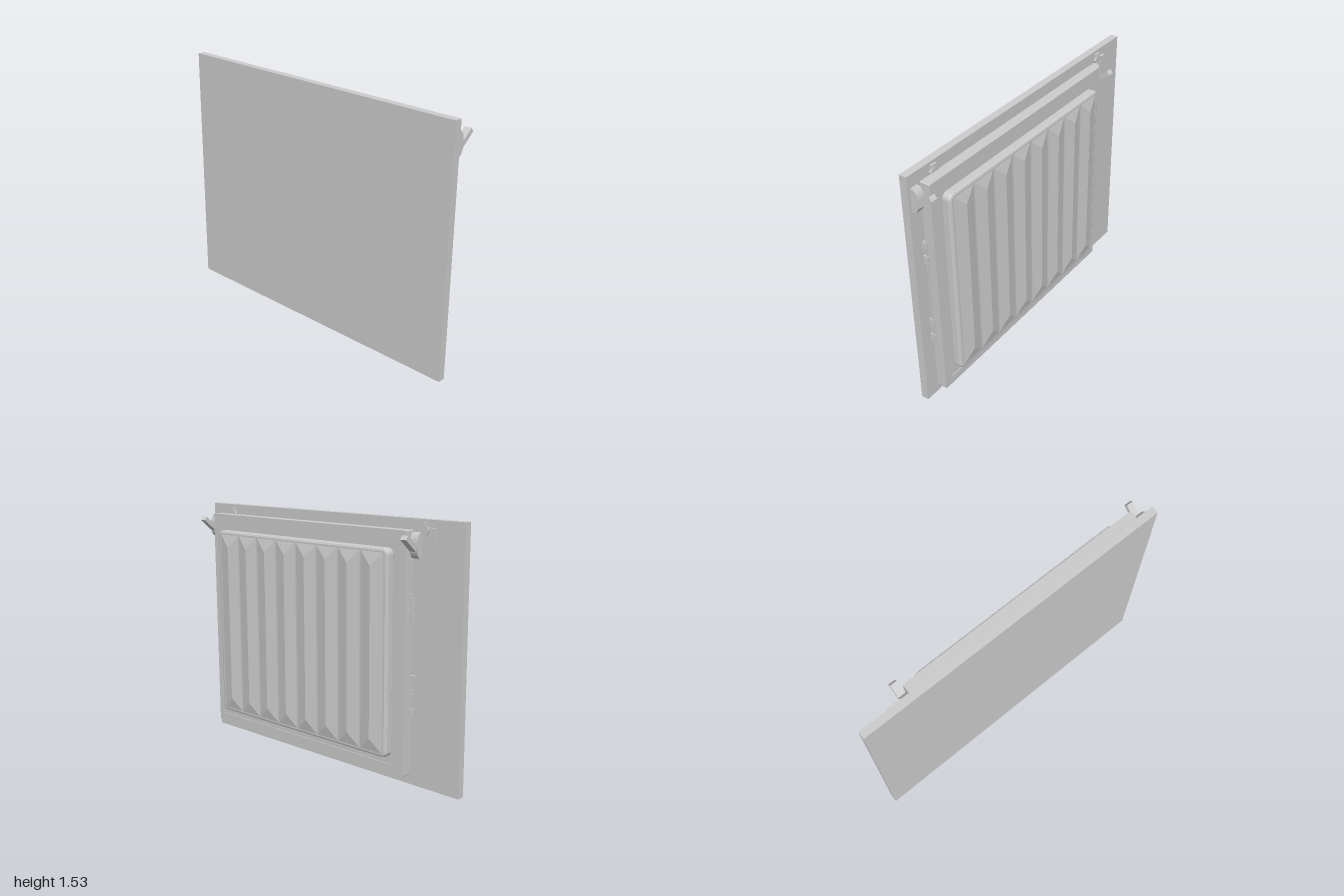
import * as THREE from 'three';
import { ConvexGeometry } from 'three/addons/geometries/ConvexGeometry.js';

const material = new THREE.MeshStandardMaterial({ color: 0xcccccc, flatShading: true });
const MID_Y = 0.765;

function add(parent, name, geometry) {
  const mesh = new THREE.Mesh(geometry, material);
  mesh.name = name;
  parent.add(mesh);
  return mesh;
}

// Box given by its limits on each axis
function box(parent, name, [x0, x1], [y0, y1], [z0, z1]) {
  const mesh = add(parent, name, new THREE.BoxGeometry(x1 - x0, y1 - y0, z1 - z0));
  mesh.position.set((x0 + x1) / 2, (y0 + y1) / 2, (z0 + z1) / 2);
  return mesh;
}

// Rounded rectangle in the panel plane, centred on the origin
function roundedRect(w, h, r, Type = THREE.Shape) {
  const s = new Type();
  const corners = [[1, 1, 0], [-1, 1, 1], [-1, -1, 2], [1, -1, 3]];
  for (const [sx, sy, q] of corners) {
    s.absarc(sx * (w / 2 - r), sy * (h / 2 - r), r, q * Math.PI / 2, (q + 1) * Math.PI / 2);
  }
  s.closePath();
  return s;
}

// Extrusion whose depth runs along +x
function extrudeX(shape, options) {
  return new THREE.ExtrudeGeometry(shape, { bevelEnabled: false, curveSegments: 5, ...options })
    .rotateY(Math.PI / 2);
}

function discX(parent, name, radius, [x0, x1], y, z, sides = 12) {
  const mesh = add(parent, name, new THREE.CylinderGeometry(radius, radius, x1 - x0, sides).rotateZ(Math.PI / 2));
  mesh.position.set((x0 + x1) / 2, y, z);
  return mesh;
}

// Raised pan with hip-ended vertical ridges
function createPan() {
  const pan = new THREE.Group();
  pan.name = 'pan';
  const w = 1.4, h = 1.19, bevel = 0.014;
  add(pan, 'panBody', extrudeX(roundedRect(w, h, 0.035), {
    depth: 0.036, bevelEnabled: true, bevelThickness: bevel, bevelSize: bevel,
    bevelOffset: -bevel, bevelSegments: 2,
  })).position.x = 0.025;
  const count = 8, pitch = (w - 0.05) / count, end = h / 2 - 0.02, apex = h / 2 - 0.1;
  for (let i = 0; i < count; i++) {
    const z = (i - (count - 1) / 2) * pitch;
    const points = [];
    for (const s of [-1, 1]) {
      points.push(new THREE.Vector3(0.074, s * end, z - pitch / 2));
      points.push(new THREE.Vector3(0.074, s * end, z + pitch / 2));
      points.push(new THREE.Vector3(0.093, s * apex, z));
    }
    add(pan, 'ridge', new ConvexGeometry(points));
  }
  return pan;
}

// Corner latch: rounded cheek plate with a slanted lever
function createLatch(z) {
  const latch = new THREE.Group();
  latch.name = 'latch';
  const cheek = new THREE.Shape();
  cheek.moveTo(-0.042, 1.31);
  cheek.lineTo(-0.022, 1.31);
  cheek.quadraticCurveTo(0.004, 1.325, 0.006, 1.38);
  cheek.quadraticCurveTo(0.004, 1.43, -0.022, 1.45);
  cheek.lineTo(-0.042, 1.45);
  cheek.closePath();
  add(latch, 'cheek', new THREE.ExtrudeGeometry(cheek, { depth: 0.05, bevelEnabled: false, curveSegments: 5 }))
    .position.z = -0.025;
  const lever = add(latch, 'lever', new THREE.BoxGeometry(0.11, 0.028, 0.042));
  lever.position.set(0.04, 1.395, 0);
  lever.rotation.z = 0.7;
  latch.position.z = z;
  return latch;
}

export function createModel() {
  const model = new THREE.Group();
  model.name = 'panelAssembly';
  // The whole assembly leans very slightly
  const body = new THREE.Group();
  body.name = 'body';
  body.position.y = MID_Y;
  body.rotation.set(0.01, -0.0075, 0);
  model.add(body);
  const inner = new THREE.Group();
  inner.name = 'parts';
  inner.position.y = -MID_Y;
  body.add(inner);

  // Back plate
  box(inner, 'backPlate', [-0.092, -0.046], [0.01, 1.52], [-0.992, 0.992]);

  // Frame with a shallow recess around the pan
  const frame = new THREE.Group();
  frame.name = 'frame';
  frame.position.set(0, 0.767, 0.124);
  inner.add(frame);
  const rim = roundedRect(1.578, 1.388, 0.006);
  rim.holes.push(roundedRect(1.46, 1.28, 0.006, THREE.Path));
  add(frame, 'frameRim', extrudeX(rim, { depth: 0.063 })).position.x = -0.034;
  box(frame, 'framePanel', [-0.034, 0.024], [-0.645, 0.645], [-0.735, 0.735]);
  frame.add(createPan());

  // Spacers joining plate and frame
  for (const y of [0.51, 1.02]) {
    for (const z of [-0.6, 0.85]) box(inner, 'spacer', [-0.047, -0.033], [y - 0.055, y + 0.055], [z - 0.03, z + 0.03]);
  }

  // Thin seal strips with tabs along both frame sides
  for (const z of [-0.668, 0.916]) {
    box(inner, 'sealStrip', [-0.03, -0.022], [0.42, 1.11], [z - 0.005, z + 0.005]);
    for (const y of [0.44, 0.55, 0.98, 1.07]) {
      box(inner, 'sealTab', [-0.045, -0.015], [y - 0.025, y + 0.025], [z - 0.007, z + 0.007]);
    }
  }
  box(inner, 'sideCatch', [-0.03, -0.015], [0.645, 0.66], [-0.7, -0.66]);

  // Corner latches
  for (const z of [-0.695, 0.953]) inner.add(createLatch(z));

  // Hanging knobs on the plate
  for (const z of [-0.742, 0.8]) {
    discX(inner, 'knob', 0.028, [-0.047, -0.03], 1.462, z, 8);
    box(inner, 'knobCap', [-0.047, -0.034], [1.48, 1.502], [z - 0.02, z + 0.02]);
    box(inner, 'knobFoot', [-0.047, -0.034], [1.42, 1.44], [z - 0.015, z + 0.015]);
  }
  box(inner, 'catchBlock', [-0.047, -0.027], [1.415, 1.475], [-0.81, -0.772]);

  // Small studs on the plate
  for (const y of [0.12, 0.515]) discX(inner, 'stud', 0.009, [-0.047, -0.043], y, -0.89);

  return model;
}
